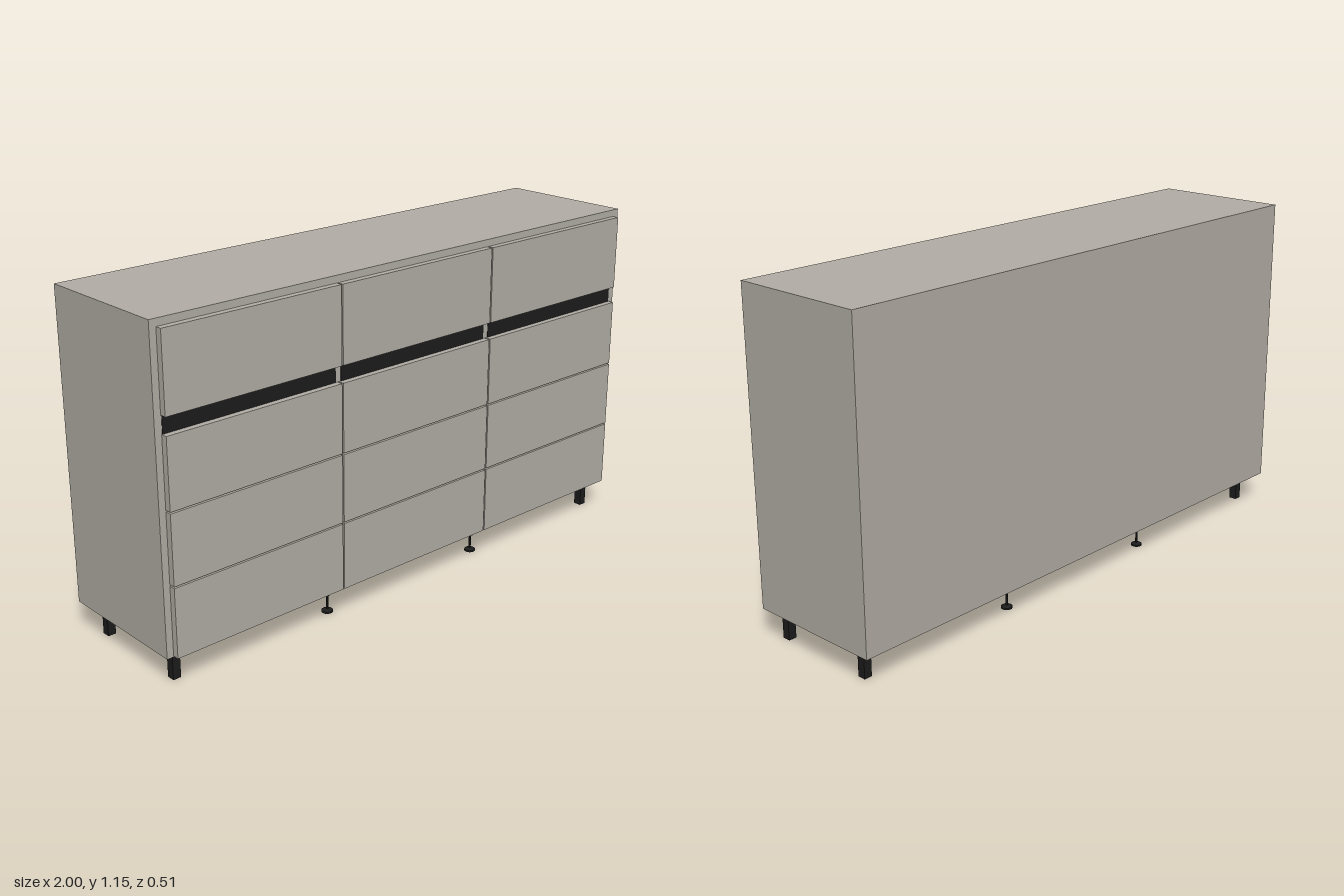
import * as THREE from 'three';

export function createModel() {
  const model = new THREE.Group();
  model.name = 'sideboard';

  const greige = new THREE.MeshStandardMaterial({ color: 0xb3aea6 });
  greige.name = 'greige lacquer';
  const black = new THREE.MeshStandardMaterial({ color: 0x1c1c1c });
  black.name = 'black';

  // Box given by its lower and upper limits
  function box(name, mat, x0, x1, y0, y1, z0, z1, parent = model) {
    const mesh = new THREE.Mesh(new THREE.BoxGeometry(x1 - x0, y1 - y0, z1 - z0), mat);
    mesh.position.set((x0 + x1) / 2, (y0 + y1) / 2, (z0 + z1) / 2);
    mesh.name = name;
    parent.add(mesh);
  }

  // Carcass
  box('carcass', greige, -1, 1, 0.104, 1.147, -0.254, 0.232);

  // Drawer fronts in three columns and four rows
  const columns = [[-0.977, -0.329], [-0.324, 0.324], [0.329, 0.977]];
  const rows = [[0.107, 0.338], [0.343, 0.574], [0.579, 0.81], [0.867, 1.123]];
  for (const [x0, x1] of columns) {
    for (const [y0, y1] of rows) box('drawerFront', greige, x0, x1, y0, y1, 0.232, 0.254);
  }

  // Dark grip strips between the two upper rows
  for (const [x0, x1] of [[-0.975, -0.337], [-0.316, 0.316], [0.337, 0.975]]) {
    box('gripStrip', black, x0, x1, 0.81, 0.867, 0.231, 0.2335);
  }

  // Square corner legs with mounting plates
  function addLeg(x, z) {
    const leg = new THREE.Group();
    leg.name = 'cornerLeg';
    box('legPost', black, -0.014, 0.014, 0, 0.101, -0.014, 0.014, leg);
    box('legPlate', black, -0.031, 0.031, 0.1, 0.104, -0.031, 0.031, leg);
    leg.position.set(x, 0, z);
    model.add(leg);
  }

  // Adjustable centre feet: disc, rod and collar in one turned profile
  const footProfile = [
    [0, 0], [0.019, 0], [0.019, 0.006], [0.01, 0.011], [0.004, 0.011],
    [0.004, 0.062], [0.012, 0.062], [0.012, 0.076], [0.006, 0.078],
    [0.006, 0.104], [0, 0.104],
  ].map(([r, y]) => new THREE.Vector2(r, y));
  const footGeometry = new THREE.LatheGeometry(footProfile, 20).toNonIndexed();
  footGeometry.computeVertexNormals();

  for (const z of [0.18, -0.176]) {
    for (const side of [-1, 1]) {
      addLeg(side * 0.943, z);
      const foot = new THREE.Mesh(footGeometry, black);
      foot.name = 'centreFoot';
      foot.position.set(side * 0.336, 0, z);
      model.add(foot);
    }
  }
  return model;
}
